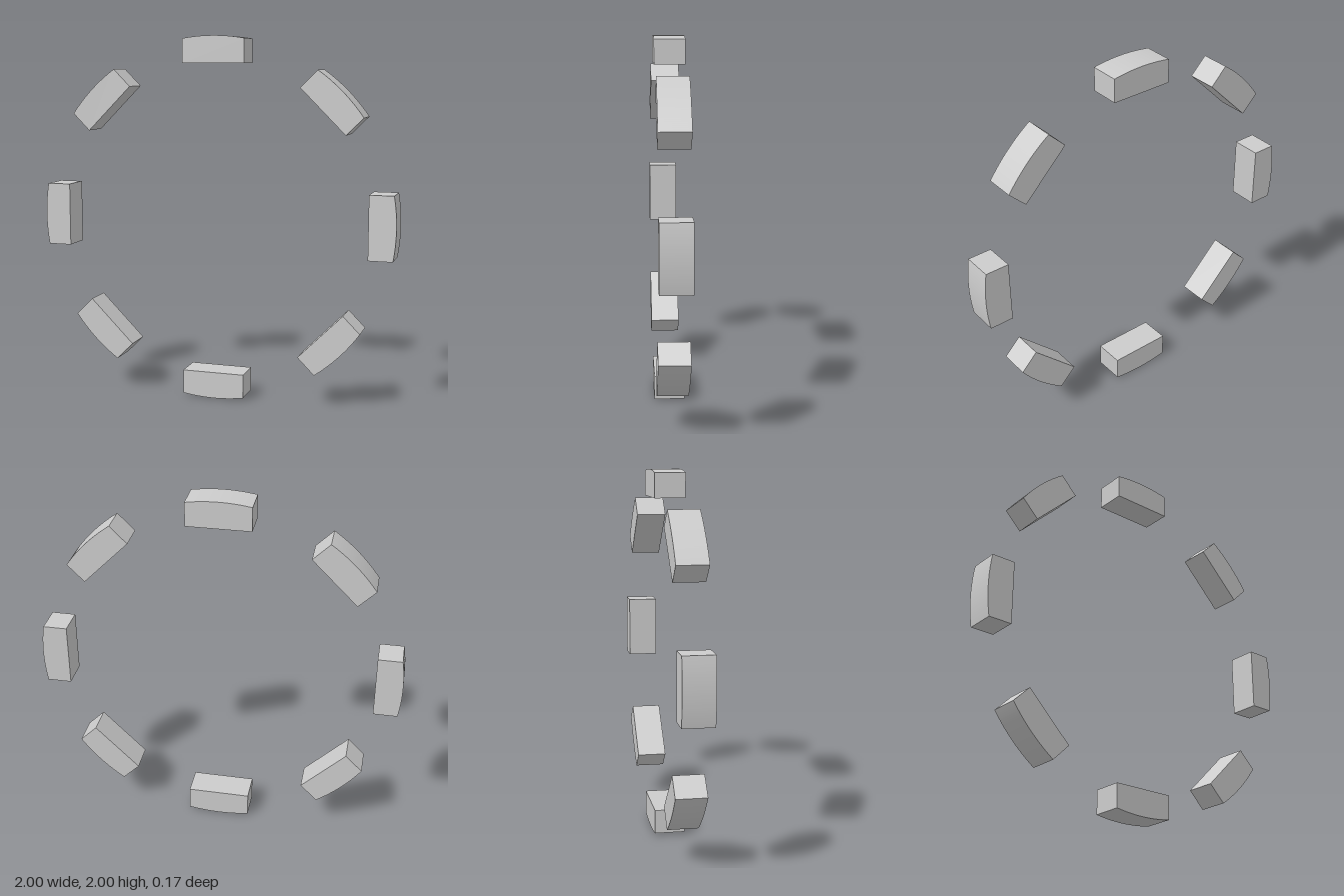
import * as THREE from 'three';

const COUNT = 8;
const OUTER_RADIUS = 1;
const INNER_FLAT = 0.853; // distance from ring centre to the flat inner face
const HALF_WIDTH = 0.174;
const DEPTH = 0.165;

// Block at the top of the ring: flat inner face, parallel sides, curved outer face
function blockGeometry() {
  const spread = Math.asin(HALF_WIDTH / OUTER_RADIUS);
  const shape = new THREE.Shape();
  shape.moveTo(-HALF_WIDTH, INNER_FLAT);
  shape.lineTo(HALF_WIDTH, INNER_FLAT);
  shape.absarc(0, 0, OUTER_RADIUS, Math.PI / 2 - spread, Math.PI / 2 + spread, false);
  shape.closePath();
  const geometry = new THREE.ExtrudeGeometry(shape, {
    depth: DEPTH, bevelEnabled: false, curveSegments: 16,
  });
  geometry.translate(0, 0, -DEPTH / 2);
  return geometry;
}

export function createModel() {
  const model = new THREE.Group();
  model.name = 'blockRing';
  const material = new THREE.MeshStandardMaterial({ color: 0xcccccc });
  const geometry = blockGeometry();

  // Eight equal blocks around a vertical ring
  for (let i = 0; i < COUNT; i++) {
    const block = new THREE.Mesh(geometry, material);
    block.name = `ringBlock${i + 1}`;
    block.position.y = OUTER_RADIUS;
    block.rotation.z = (i / COUNT) * Math.PI * 2;
    model.add(block);
  }
  return model;
}
